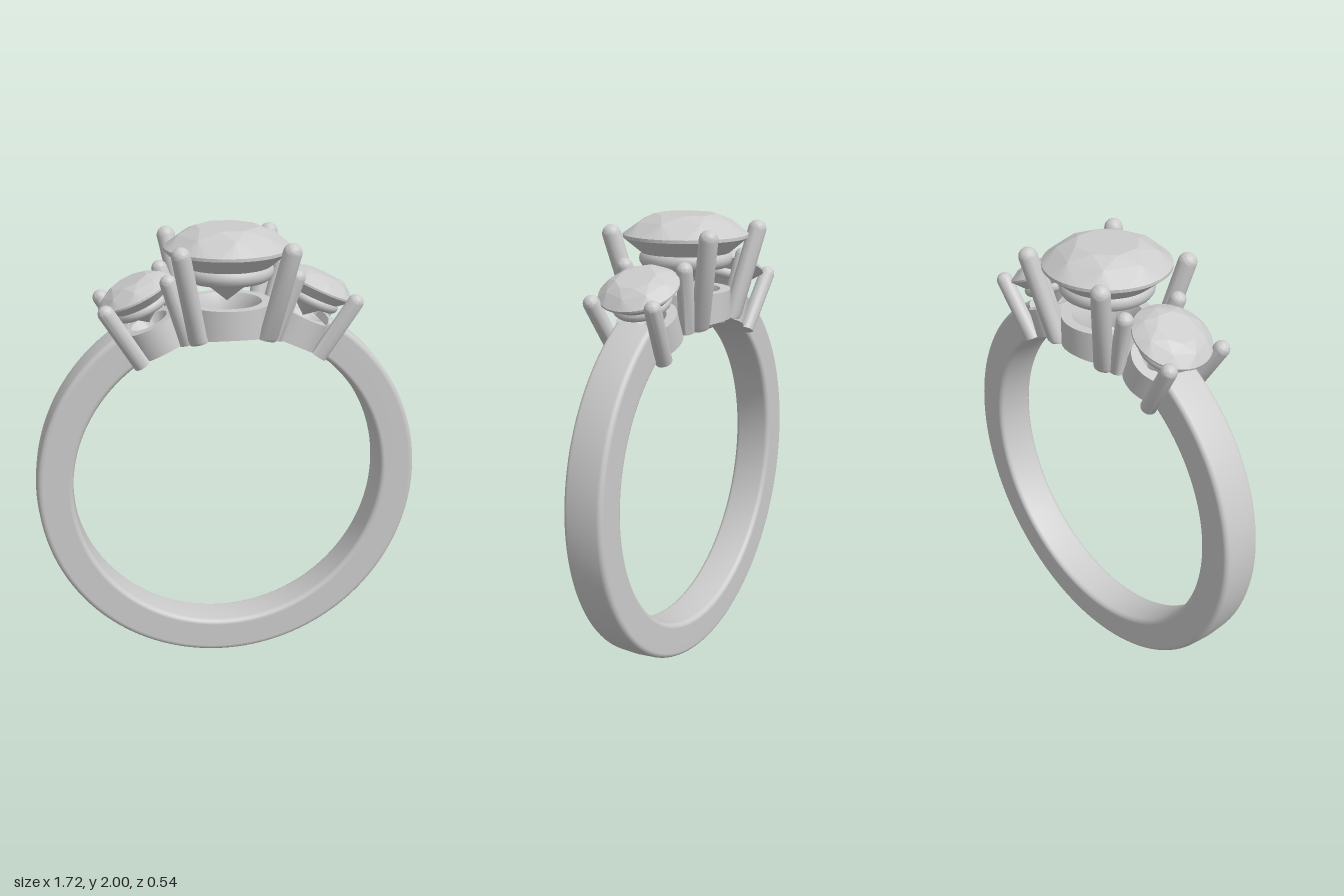
import * as THREE from 'three';
import { toCreasedNormals } from 'three/addons/utils/BufferGeometryUtils.js';
import { ConvexGeometry } from 'three/addons/geometries/ConvexGeometry.js';

const metal = new THREE.MeshStandardMaterial({ color: 0xcccccc });
const thin = new THREE.MeshStandardMaterial({ color: 0xcccccc, side: THREE.DoubleSide });
const stoneMaterial = new THREE.MeshStandardMaterial({ color: 0xcccccc, flatShading: true });

const CENTRE_Y = 0.86, INNER = 0.695, OUTER = 0.86, HALF_WIDTH = 0.09;
const SIDE_ANGLE = THREE.MathUtils.degToRad(24.5);
const BAND_END = THREE.MathUtils.degToRad(30.5);

function addMesh(parent, name, geometry, material = metal) {
  const mesh = new THREE.Mesh(geometry, material);
  mesh.name = name;
  parent.add(mesh);
  return mesh;
}

// Push everything that dips into the finger hole back out to its surface
function trimToFinger(geometry) {
  const p = geometry.attributes.position;
  for (let i = 0; i < p.count; i++) {
    const floor = Math.sqrt(INNER * INNER - p.getX(i) ** 2);
    if (p.getY(i) < floor) p.setY(i, floor);
  }
  return toCreasedNormals(geometry, 0.6);
}

// Band cross-section: a rounded rectangle with faintly crowned faces
function bandProfile() {
  const pts = [], r = 0.022, bulge = 0.004;
  const corners = [[OUTER - bulge - r, -1, -1], [OUTER - bulge - r, 1, 0], [INNER + bulge + r, 1, 1], [INNER + bulge + r, -1, 2]];
  corners.forEach(([cx, sy, quarter], n) => {
    for (let i = 0; i <= 5; i++) {
      const a = (quarter + i / 5) * Math.PI / 2;
      pts.push(new THREE.Vector2(cx + r * Math.cos(a), sy * (HALF_WIDTH - r) + r * Math.sin(a)));
    }
    if (n === 0) pts.push(new THREE.Vector2(OUTER, 0));
    if (n === 2) pts.push(new THREE.Vector2(INNER, 0));
  });
  pts.push(pts[0].clone());
  return pts;
}

function buildBand() {
  const band = new THREE.Group();
  band.name = 'band';
  const profile = bandProfile();
  const hoop = new THREE.LatheGeometry(profile, 128, BAND_END, Math.PI * 2 - BAND_END * 2);
  hoop.rotateX(-Math.PI / 2);
  addMesh(band, 'hoop', hoop);
  // Flat ends where the band meets the side settings
  for (const side of [-1, 1]) {
    const cap = new THREE.ShapeGeometry(new THREE.Shape(profile));
    cap.rotateY(-Math.PI / 2).rotateX(-Math.PI / 2).rotateY(Math.PI / 2);
    const p = cap.attributes.position;
    profile.slice(0, p.count).forEach((v, i) =>
      p.setXYZ(i, side * v.x * Math.sin(BAND_END), v.x * Math.cos(BAND_END), v.y));
    cap.computeVertexNormals();
    addMesh(band, 'bandEnd', cap, thin);
  }
  return band;
}

// Round brilliant cut, unit girdle radius, girdle at y = 0
function brilliant(radius) {
  const pts = [];
  const ring = (n, r, y, offset = 0) => {
    for (let i = 0; i < n; i++) {
      const a = (i + offset) / n * Math.PI * 2;
      pts.push(new THREE.Vector3(Math.sin(a) * r, y, Math.cos(a) * r).multiplyScalar(radius));
    }
  };
  ring(8, 0.5, 0.335, 0.5);   // table
  ring(8, 0.77, 0.225);       // crown
  ring(48, 1, 0.025);         // girdle
  ring(48, 1, -0.025);
  ring(8, 0.3, -0.6, 0.5);    // pavilion
  ring(1, 0, -0.85);
  return new ConvexGeometry(pts);
}

// Tapered-out claw with a domed tip
function prong(bottom, top, radius) {
  const dir = top.clone().sub(bottom);
  const length = dir.length();
  const profile = [new THREE.Vector2(0, 0), new THREE.Vector2(radius, 0), new THREE.Vector2(radius, 0.1 * length)];
  for (let i = 0; i <= 8; i++) {
    const a = i / 8 * Math.PI / 2;
    profile.push(new THREE.Vector2(i === 8 ? 0 : Math.cos(a) * radius, length + Math.sin(a) * radius));
  }
  const g = new THREE.LatheGeometry(profile, 24);
  g.applyQuaternion(new THREE.Quaternion().setFromUnitVectors(new THREE.Vector3(0, 1, 0), dir.normalize()));
  g.translate(bottom.x, bottom.y, bottom.z);
  return trimToFinger(g);
}

// One stone with its collar, rail and four prongs; the ring centre is the origin
function buildSetting(name, s) {
  const group = new THREE.Group();
  group.name = name;

  const collar = [[s.hole, 0.6], [s.collar, 0.6], [s.collar, 0.82], [s.rim, 0.82], [s.hole, 0.765], [s.hole, 0.6]]
    .map(([x, y]) => new THREE.Vector2(x, y));
  addMesh(group, 'collar', trimToFinger(new THREE.LatheGeometry(collar, 64)));

  const rail = new THREE.TorusGeometry(s.stone * 0.6, s.stone * 0.145, 16, 64);
  rail.rotateX(Math.PI / 2);
  addMesh(group, 'galleryRail', rail).position.y = s.girdle - s.stone * 0.36;

  addMesh(group, 'stone', brilliant(s.stone), stoneMaterial).position.y = s.girdle;

  for (const x of [-1, 1]) for (const z of [-1, 1]) {
    const bottom = new THREE.Vector3(x * s.foot, 0.66, z * s.foot);
    const top = new THREE.Vector3(x * s.tip, s.tipY, z * s.tip);
    addMesh(group, 'prong', prong(bottom, top, s.wire));
  }
  return group;
}

export function createModel() {
  const model = new THREE.Group();
  model.name = 'threeStoneRing';
  const ring = new THREE.Group();
  ring.name = 'ring';
  ring.position.y = CENTRE_Y;
  model.add(ring);

  ring.add(buildBand());
  ring.add(buildSetting('centreSetting', {
    stone: 0.27, girdle: 1.05, collar: 0.195, rim: 0.15, hole: 0.12,
    foot: 0.145, tip: 0.23, tipY: 1.065, wire: 0.04,
  }));
  for (const side of [-1, 1]) {
    const setting = buildSetting(side > 0 ? 'leftSetting' : 'rightSetting', {
      stone: 0.17, girdle: 0.957, collar: 0.13, rim: 0.085, hole: 0.045,
      foot: 0.105, tip: 0.142, tipY: 0.968, wire: 0.035,
    });
    setting.rotation.z = -side * SIDE_ANGLE;
    ring.add(setting);
  }
  return model;
}
